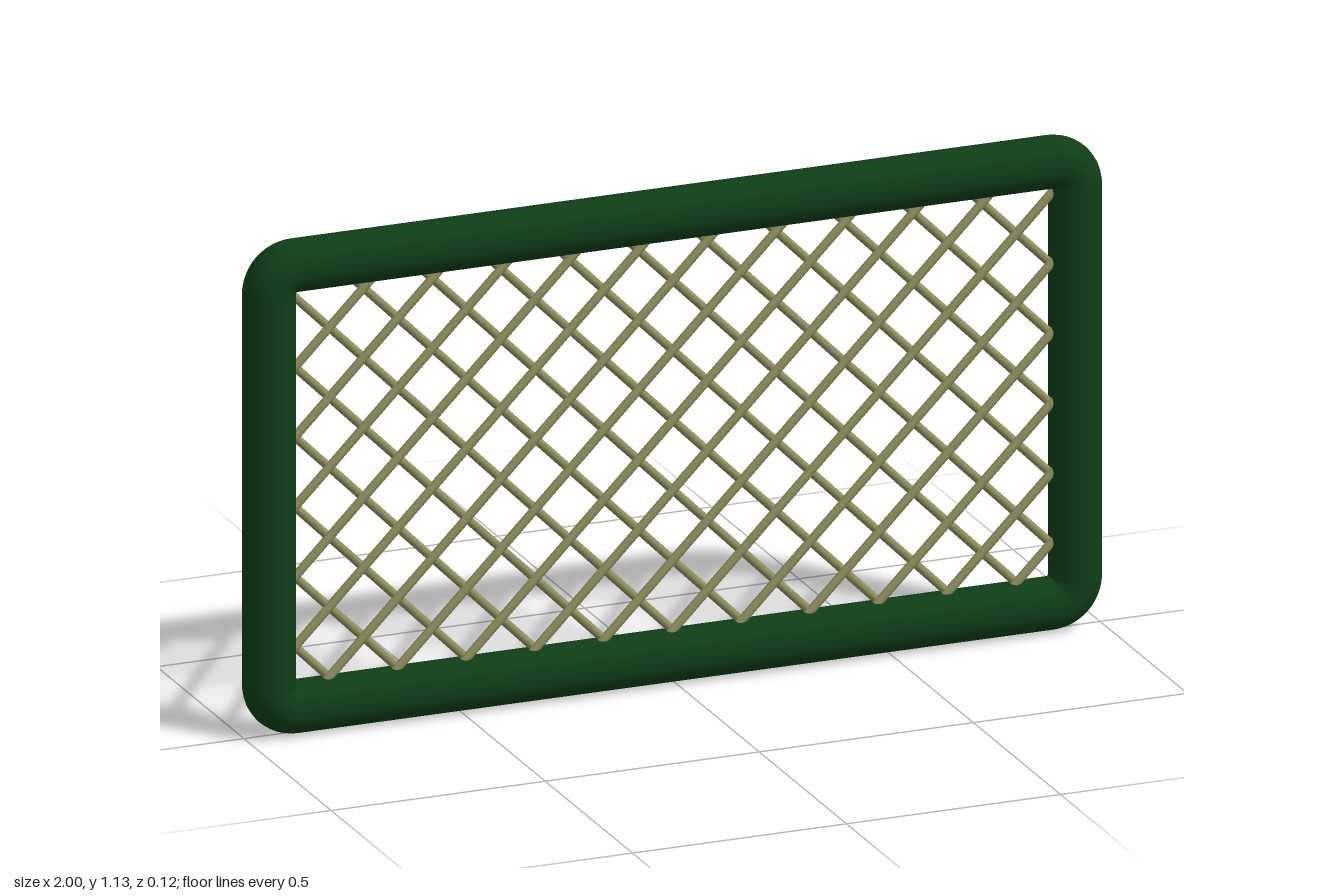
import * as THREE from 'three';

export function createModel() {
  const group = new THREE.Group();
  group.name = 'meshPanel';
  const frameMat = new THREE.MeshStandardMaterial({ color: 0x0f3d17 });
  const wireMat = new THREE.MeshStandardMaterial({ color: 0x8f9060 });

  const H = 1.13, r = 0.0585;        // overall height, frame tube radius
  const cx = 1 - 2 * r;              // inner opening, also the corner centres
  const y0 = 2 * r, y1 = H - 2 * r;

  // Straight round bar between two points
  function bar(name, a, b, radius, sides, mat, parent) {
    const dir = b.clone().sub(a);
    const geo = new THREE.CylinderGeometry(radius, radius, dir.length(), sides);
    const mesh = new THREE.Mesh(geo, mat);
    mesh.position.copy(a).add(b).multiplyScalar(0.5);
    mesh.quaternion.setFromUnitVectors(new THREE.Vector3(0, 1, 0), dir.normalize());
    mesh.name = name;
    parent.add(mesh);
  }
  const v = (x, y, z = 0) => new THREE.Vector3(x, y, z);

  // Tubular frame: four bars joined by quarter bends
  const frame = new THREE.Group();
  frame.name = 'frame';
  group.add(frame);
  bar('bottomBar', v(-cx, r), v(cx, r), r, 32, frameMat, frame);
  bar('topBar', v(-cx, H - r), v(cx, H - r), r, 32, frameMat, frame);
  bar('leftBar', v(1 - r, y0), v(1 - r, y1), r, 32, frameMat, frame);
  bar('rightBar', v(r - 1, y0), v(r - 1, y1), r, 32, frameMat, frame);
  [[cx, y1], [-cx, y1], [-cx, y0], [cx, y0]].forEach(([x, y], i) => {
    const bend = new THREE.Mesh(new THREE.TorusGeometry(r, r, 32, 12, Math.PI / 2), frameMat);
    bend.position.set(x, y, 0);
    bend.rotation.z = i * Math.PI / 2;
    bend.name = 'cornerBend';
    frame.add(bend);
  });

  // Diagonal wire lattice, clipped just inside the frame tubes
  const lattice = new THREE.Group();
  lattice.name = 'wireLattice';
  group.add(lattice);
  const pitch = 2 * cx / 11, sink = 0.012;
  const xm = cx + sink, lo = y0 - sink, hi = y1 + sink;
  for (const s of [1, -1]) {
    for (let k = -12; k <= 12; k++) {
      // wire line: y = y0 + (s * x - k * pitch), solved with u = s * x
      const c = k * pitch;
      const u0 = Math.max(-xm, lo - y0 + c);
      const u1 = Math.min(xm, hi - y0 + c);
      if (u1 - u0 < 0.04) continue;
      const z = s * 0.005;
      bar('wire', v(s * u0, y0 + u0 - c, z), v(s * u1, y0 + u1 - c, z), 0.01, 10, wireMat, lattice);
    }
  }
  return group;
}
